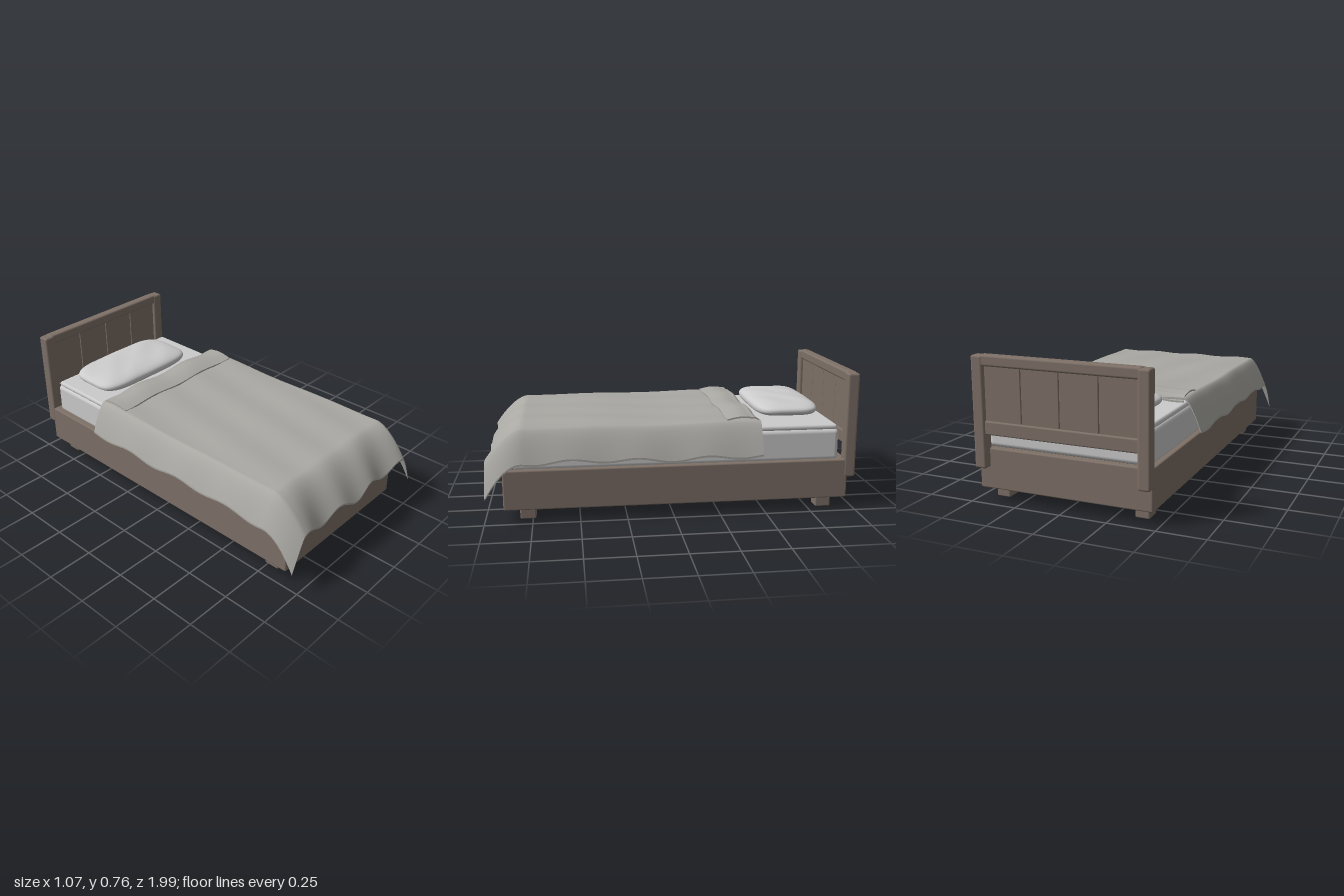
import * as THREE from 'three';
import { RoundedBoxGeometry } from 'three/addons/geometries/RoundedBoxGeometry.js';

const mat = (color) => new THREE.MeshStandardMaterial({ color });

export function createModel() {
  const bed = new THREE.Group();
  bed.name = 'bed';
  const wood = mat(0x7d7067), dark = mat(0x3c3b36), linen = mat(0xcccccc), cloth = mat(0xa9a8a3);
  cloth.side = THREE.DoubleSide;

  const add = (name, geometry, material) => {
    const mesh = new THREE.Mesh(geometry, material);
    mesh.name = name;
    bed.add(mesh);
    return mesh;
  };
  // Rounded block given by its extents on each axis
  const block = (name, x0, x1, y0, y1, z0, z1, material = wood, r = 0.008) => {
    const g = new RoundedBoxGeometry(x1 - x0, y1 - y0, z1 - z0, 3, r);
    g.translate((x0 + x1) / 2, (y0 + y1) / 2, (z0 + z1) / 2);
    return add(name, g, material);
  };

  // Frame rails, feet and headboard posts
  for (const s of [-1, 1]) {
    const side = s > 0 ? 'left' : 'right';
    const mirrored = (name, a, b, ...rest) => block(name, Math.min(s * a, s * b), Math.max(s * a, s * b), ...rest);
    mirrored(side + 'SideRail', 0.425, 0.47, 0.065, 0.28, -0.955, 0.9);
    mirrored(side + 'FrontFoot', 0.348, 0.424, 0, 0.075, 0.733, 0.818);
    mirrored(side + 'BackFoot', 0.348, 0.424, 0, 0.075, -0.883, -0.797);
    mirrored(side + 'HeadboardPost', 0.408, 0.472, 0.18, 0.753, -1, -0.935, wood, 0.012);
  }
  block('footRail', -0.469, 0.469, 0.066, 0.279, 0.855, 0.901);
  block('headRail', -0.469, 0.469, 0.066, 0.279, -0.956, -0.91);
  add('deck', new THREE.BoxGeometry(0.87, 0.03, 1.8), dark).position.set(0, 0.255, -0.027);

  // Headboard rails and four panels with narrow gaps
  block('headboardTopRail', -0.43, 0.43, 0.7, 0.757, -0.997, -0.94, wood, 0.012);
  block('headboardLowerRail', -0.42, 0.42, 0.355, 0.425, -0.99, -0.945);
  for (let i = 0; i < 4; i++) {
    const x = -0.414 + i * 0.207;
    block('headboardPanel', x + 0.002, x + 0.205, 0.41, 0.71, -0.978, -0.955, wood, 0.003);
  }

  // Mattress with a thin top layer
  block('mattress', -0.442, 0.442, 0.27, 0.447, -0.91, 0.85, linen, 0.025);
  block('mattressTop', -0.435, 0.435, 0.44, 0.47, -0.9, 0.84, linen, 0.014);

  // Pillow: a sphere squared off by powers of its coordinates
  const pillow = new THREE.SphereGeometry(1, 64, 40);
  const pp = pillow.attributes.position;
  const pow = (v, e) => Math.sign(v) * Math.abs(v) ** e;
  for (let i = 0; i < pp.count; i++) {
    const y = pp.getY(i), r = Math.hypot(pp.getX(i), pp.getZ(i));
    const a = Math.atan2(pp.getZ(i), pp.getX(i)), spread = r ** 0.7;
    const x = pow(Math.cos(a), 0.45) * spread, z = pow(Math.sin(a), 0.45) * spread;
    const crease = 0.002 * Math.sin(9 * x + 5 * z) * Math.max(y, 0);
    pp.setXYZ(i, -0.035 + 0.335 * x, 0.515 + 0.046 * pow(y, 0.8) + crease, -0.68 + 0.18 * z);
  }
  pillow.computeVertexNormals();
  add('pillow', pillow, linen);

  // Cloth: a thin subdivided slab whose vertices follow a height rule
  const sheet = (name, w, d, nx, nz, thick, rule) => {
    const g = new THREE.BoxGeometry(w, thick, d, nx, 1, nz);
    const p = g.attributes.position;
    for (let i = 0; i < p.count; i++) {
      const [x, y, z] = rule(p.getX(i), p.getZ(i));
      p.setXYZ(i, x, y + p.getY(i), z);
    }
    g.computeVertexNormals();
    return add(name, g, cloth);
  };
  const wave = (v, period) => Math.cos((2 * Math.PI * v) / period);

  // Blanket: drops over both sides and the foot, with wavy hems
  sheet('blanket', 1.07, 1.45, 120, 120, 0.01, (x, z0) => {
    const z = z0 + 0.255;
    const tx = Math.max(0, (Math.abs(x) - 0.445) / 0.09);
    const tz = Math.max(0, (z - 0.79) / 0.19);
    const y = 0.499 + 0.003 * Math.sin(22 * x + 4 * z) + 0.003 * wave(z - 0.4, 0.7)
      - tx ** 1.5 * (0.165 + 0.01 * wave(z - 0.73, 0.36))
      - tz ** 1.7 * (0.19 + 0.02 * wave(x, 0.275) * (1 - Math.min(tx, 1)));
    return [x, y, z + 0.009 * tz * wave(x, 0.5)];
  });

  // Turned-back top edge, arched and bent down to meet the blanket
  sheet('blanketFold', 0.876, 0.18, 90, 30, 0.009, (x, z0) => {
    const u = 0.5 - z0 / 0.18;
    const bend = Math.max(0, (u - 0.82) / 0.18);
    const y = 0.511 + 0.016 * Math.sin(Math.PI * Math.min(u, 0.75))
      + 0.006 * (0.4 + u) * wave(x + 0.2, 0.38) - 0.028 * bend ** 2;
    return [x - 0.003, y, -0.382 + z0 + 0.004 * wave(x, 0.4) * (1 - u)];
  });

  return bed;
}
